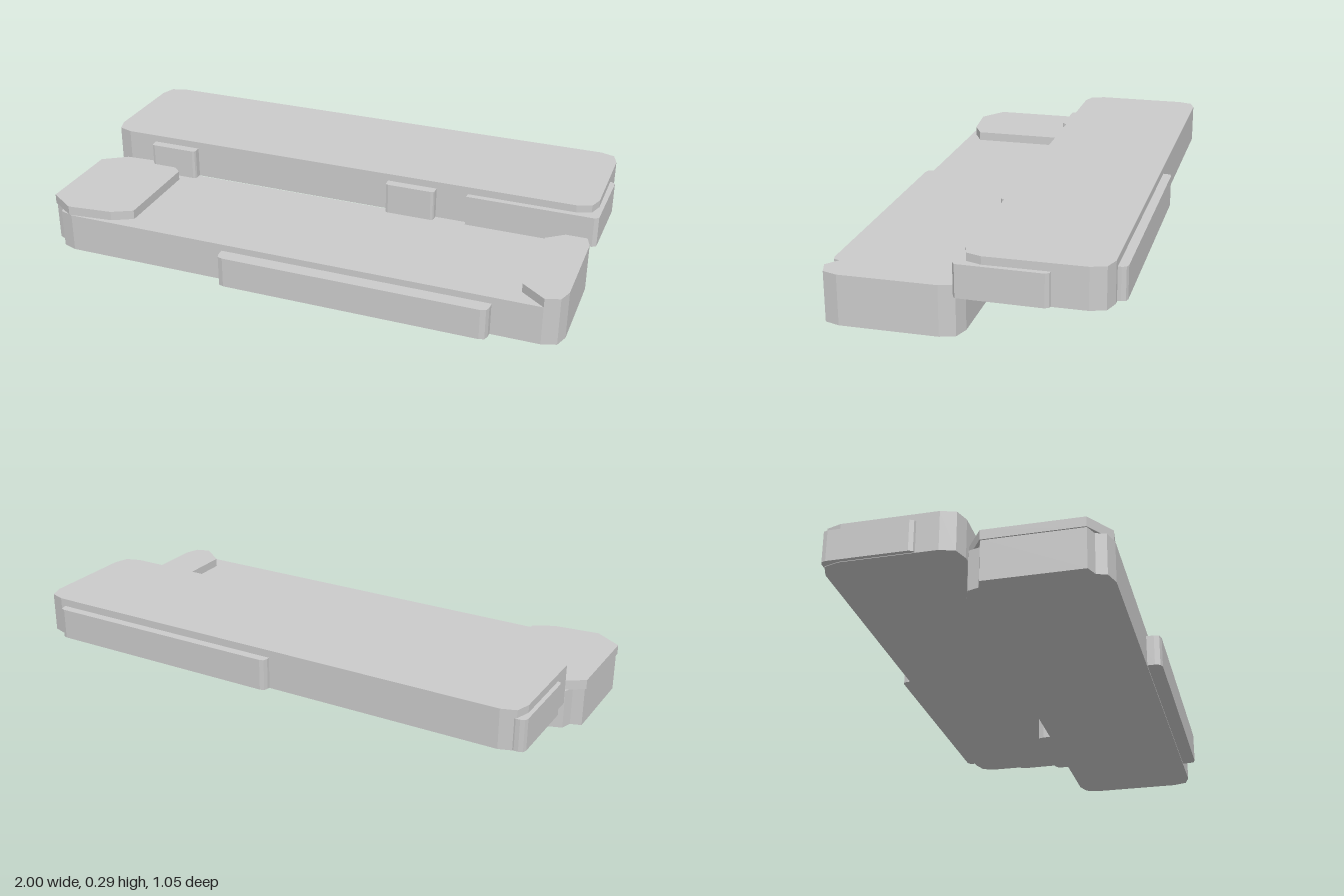
import * as THREE from 'three';

const material = new THREE.MeshStandardMaterial({ color: 0xcccccc, flatShading: true });

// Vertical prism from an [x, z] outline between two heights
function prism(name, outline, y0, y1) {
  const shape = new THREE.Shape(outline.map(([x, z]) => new THREE.Vector2(x, -z)));
  const geo = new THREE.ExtrudeGeometry(shape, { depth: y1 - y0, bevelEnabled: false });
  geo.rotateX(-Math.PI / 2);
  geo.translate(0, y0, 0);
  const mesh = new THREE.Mesh(geo, material);
  mesh.name = name;
  return mesh;
}

// Rectangle with two-step chamfered corners
function roundedOutline(x0, x1, z0, z1, c) {
  const s = c * 0.25;
  return [
    [x0, z0 + c], [x0 + s, z0 + s], [x0 + c, z0],
    [x1 - c, z0], [x1 - s, z0 + s], [x1, z0 + c],
    [x1, z1 - c], [x1 - s, z1 - s], [x1 - c, z1],
    [x0 + c, z1], [x0 + s, z1 - s], [x0, z1 - c],
  ];
}

export function createModel() {
  const model = new THREE.Group();
  model.name = 'steppedPlatforms';

  // Lower platform with raised ends
  const lower = new THREE.Group();
  lower.name = 'lowerPlatform';
  lower.add(
    prism('lowerSlab', roundedOutline(-0.96, 0.98, -0.01, 0.47, 0.07), 0, 0.145),
    prism('leftEndPlate', [[-0.995, 0.06], [-0.9, 0.03], [-0.9, 0.44], [-0.995, 0.4]], 0, 0.15),
    prism('leftCap', [
      [-1, 0.06], [-0.91, 0], [-0.72, -0.01], [-0.655, 0.05],
      [-0.655, 0.41], [-0.73, 0.45], [-0.9, 0.468], [-1, 0.4],
    ], 0.145, 0.18),
    prism('rightCap', [
      [0.82, 0.06], [0.91, -0.01], [0.9625, 0.0075], [0.98, 0.06],
      [0.98, 0.4], [0.9625, 0.4525], [0.91, 0.47], [0.82, 0.4],
    ], 0.145, 0.178),
    prism('lowerFrontBumper', roundedOutline(-0.265, 0.735, 0.42, 0.522, 0.025), 0.005, 0.12),
    prism('lowerBackBumper', roundedOutline(0.31, 0.66, -0.065, 0.04, 0.025), 0.005, 0.12),
  );

  // Upper platform, set behind and one step up
  const upper = new THREE.Group();
  upper.name = 'upperPlatform';
  upper.add(
    prism('upperSlab', roundedOutline(-0.97, 0.98, -0.493, -0.013, 0.07), 0.145, 0.29),
    prism('upperBackBumper', roundedOutline(-0.035, 0.89, -0.525, -0.44, 0.02), 0.147, 0.262),
    prism('leftSideBumper', roundedOutline(-0.985, -0.93, -0.48, -0.16, 0.02), 0.147, 0.262),
    prism('cornerBumper', [
      [0.51, 0.01], [0.98, 0.01], [0.995, 0], [1, -0.29], [0.99, -0.303],
      [0.95, -0.303], [0.95, -0.06], [0.51, -0.06],
    ], 0.147, 0.262),
  );
  for (const [x0, x1] of [[-0.785, -0.595], [0.2, 0.39]]) {
    upper.add(prism('frontPad', roundedOutline(x0, x1, -0.06, 0.022, 0.012), 0.147, 0.263));
  }

  model.add(lower, upper);
  return model;
}
